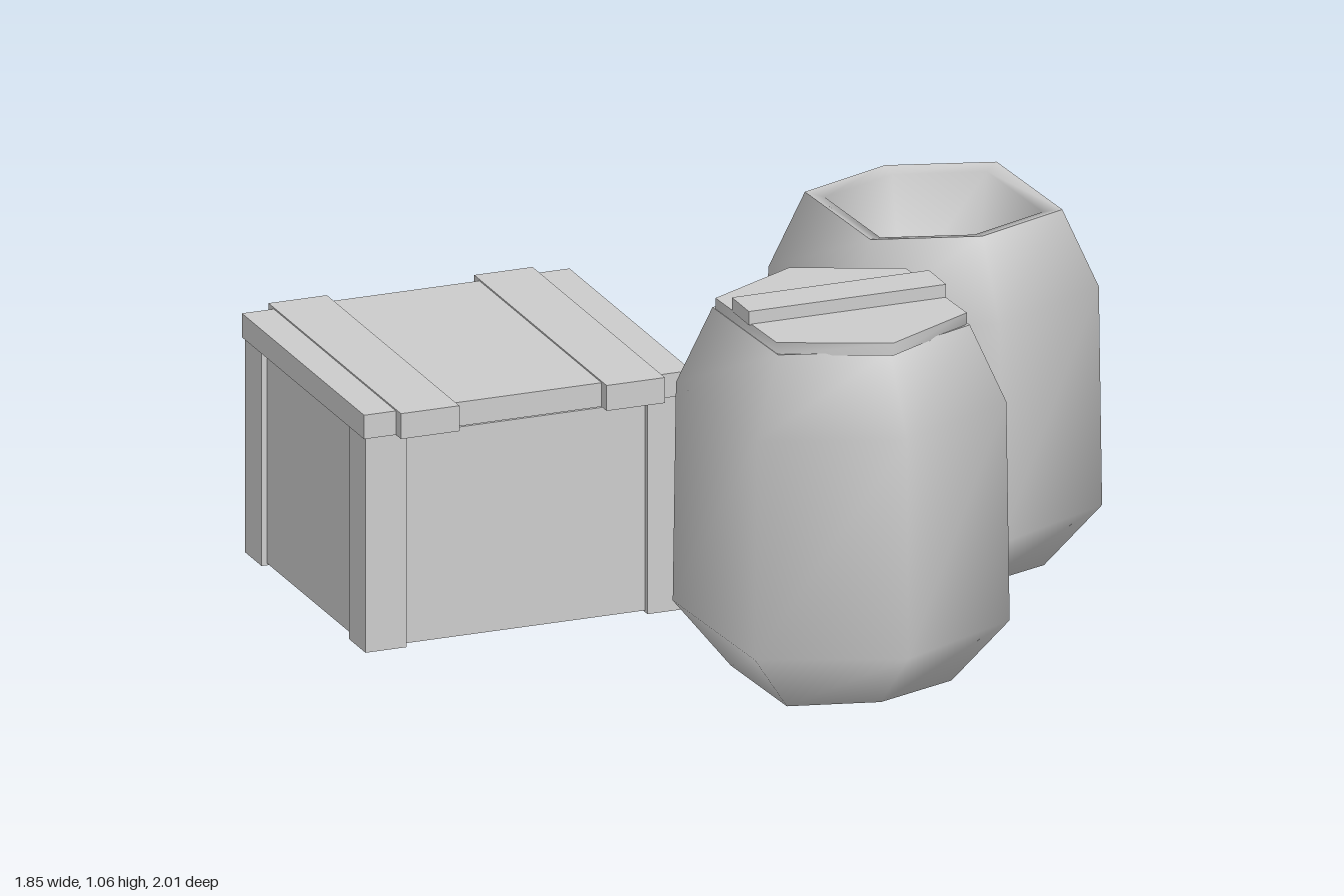
import * as THREE from 'three';

const grey = new THREE.MeshStandardMaterial({ color: 0xcccccc });
grey.name = 'plain grey';

function box(name, parent, w, h, d, x, y, z) {
  const mesh = new THREE.Mesh(new THREE.BoxGeometry(w, h, d), grey);
  mesh.name = name;
  mesh.position.set(x, y, z);
  parent.add(mesh);
  return mesh;
}

// Surface through stretched hexagon rings, each [y, side x, point z, corner z]
function loft(name, parent, rings) {
  const pos = [], index = [];
  rings.forEach(([y, x, a, c]) => {
    for (const [px, pz] of [[0, a], [x, c], [x, -c], [0, -a], [-x, -c], [-x, c]]) pos.push(px, y, pz);
  });
  for (let r = 0; r < rings.length - 1; r++) {
    for (let i = 0; i < 6; i++) {
      const a = r * 6 + i, b = r * 6 + (i + 1) % 6;
      index.push(a, b, b + 6, a, b + 6, a + 6);
    }
  }
  const geo = new THREE.BufferGeometry();
  geo.setAttribute('position', new THREE.Float32BufferAttribute(pos, 3));
  geo.setIndex(index);
  geo.computeVertexNormals();
  const mesh = new THREE.Mesh(geo, grey);
  mesh.name = name;
  parent.add(mesh);
  return mesh;
}

function barrel(name, x, z) {
  const g = new THREE.Group();
  g.name = name;
  g.position.set(x, 0, z);
  const base = [0.06, 0.225, 0.235, 0.165];
  const rim = [1.0, 0.262, 0.287, 0.193];
  loft('barrelBody', g, [base, [0.225, 0.348, 0.395, 0.242], [0.8, 0.341, 0.387, 0.238], rim]);
  loft('barrelBase', g, [[0.06, 0.001, 0.001, 0.001], base]);
  // rim thickness and hollow
  loft('barrelHollow', g, [rim, [0.99, 0.222, 0.243, 0.163], [0.7, 0.17, 0.19, 0.125], [0.62, 0.001, 0.001, 0.001]]);
  return g;
}

function crate() {
  const g = new THREE.Group();
  g.name = 'crate';
  g.position.set(-0.472, 0, -0.553);
  g.rotation.y = -0.05;
  const hx = 0.432, hz = 0.398, post = 0.11, top = 0.565;
  // corner posts and thin walls, open underneath
  for (const sx of [-1, 1]) {
    for (const sz of [-1, 1]) {
      box('cornerPost', g, post, top, post, sx * (hx - post / 2), top / 2, sz * (hz - post / 2));
    }
    box('sideWall', g, 0.03, 0.55, 2 * (hz - post), sx * (hx - 0.03), 0.28, 0);
  }
  for (const sz of [-1, 1]) box('endWall', g, 2 * (hx - post), 0.55, 0.03, 0, 0.28, sz * (hz - 0.03));
  // lid with two longer battens
  box('crateLid', g, 0.876, 0.063, 0.806, 0, 0.5965, 0);
  for (const sx of [-1, 1]) box('lidBatten', g, 0.156, 0.067, 0.874, sx * 0.275, 0.5985, 0);
  return g;
}

export function createModel() {
  const model = new THREE.Group();
  model.name = 'barrelsAndCrate';
  model.add(crate(), barrel('openBarrel', 0.577, -0.065));

  // closed barrel with lid and handle plank
  const closed = barrel('closedBarrel', 0.013, 0.605);
  const low = [0.995, 0.26, 0.306, 0.18], high = [1.028, 0.26, 0.306, 0.18];
  const dot = (y) => [y, 0.001, 0.001, 0.001];
  loft('lidRim', closed, [low, high]);
  loft('lidTop', closed, [high, dot(1.028)]);
  loft('lidUnderside', closed, [dot(0.995), low]);
  box('lidHandle', closed, 0.528, 0.036, 0.112, 0, 1.044, -0.013).rotation.y = -0.047;
  model.add(closed);
  return model;
}
